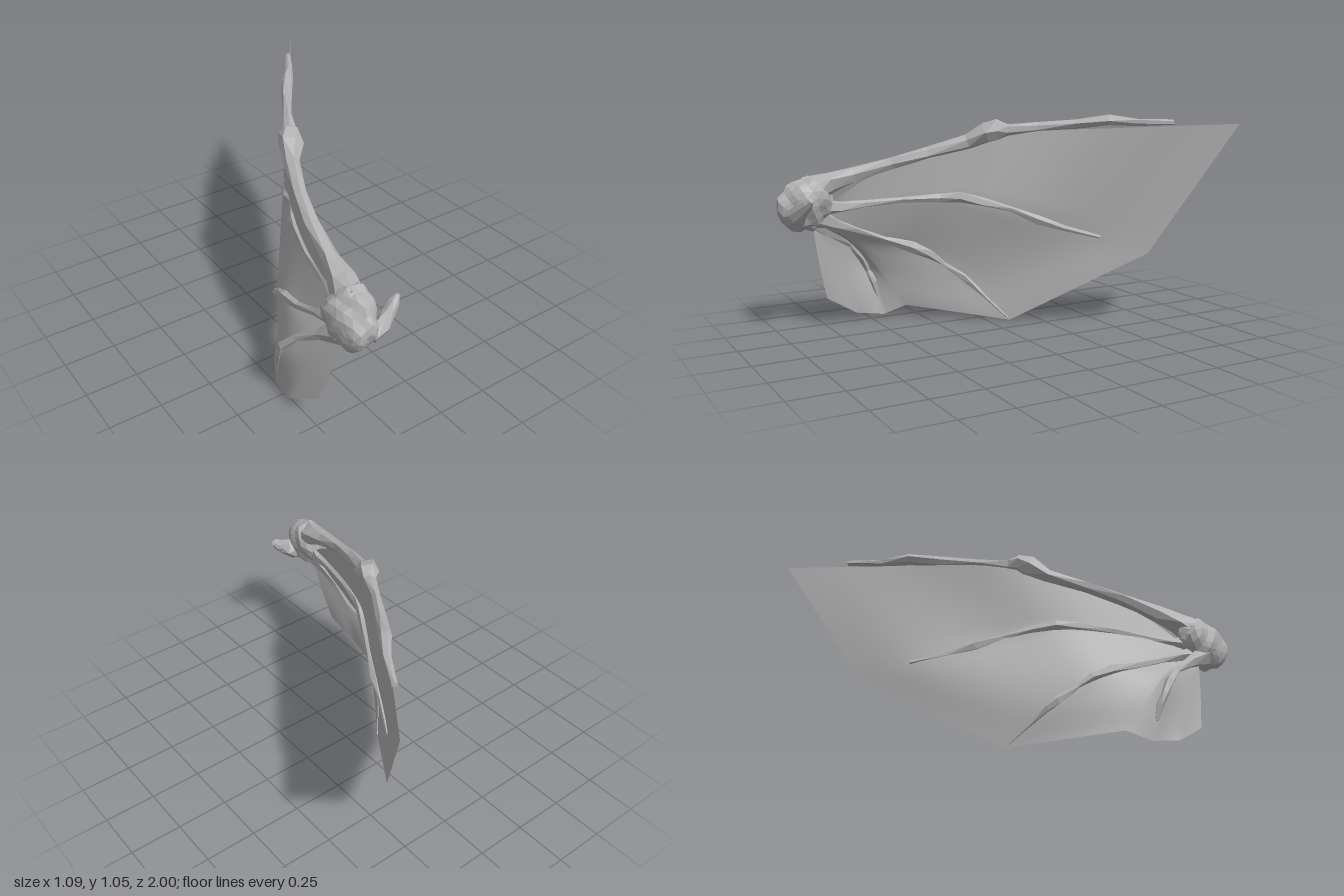
import * as THREE from 'three';
import { mergeVertices } from 'three/addons/utils/BufferGeometryUtils.js';

const grey = new THREE.MeshStandardMaterial({ color: 0xb2b2b2, side: THREE.DoubleSide });
grey.name = 'bone grey';

const V = (p) => new THREE.Vector3(p[0], p[1], p[2]);

function mesh(name, geometry) {
  const m = new THREE.Mesh(geometry, grey);
  m.name = name;
  return m;
}

// faceted normals
function facet(g) {
  const f = g.index ? g.toNonIndexed() : g;
  f.computeVertexNormals();
  return f;
}

// angular bone: rings of varying radius along a path of [x, y, z, radius]
function bone(path, sides, flatten, wobble) {
  const pts = path.map(V);
  const sheetNormal = new THREE.Vector3(0.89, 0, 0.46);
  const pos = [], idx = [];
  pts.forEach((p, i) => {
    const t = pts[Math.min(i + 1, pts.length - 1)].clone().sub(pts[Math.max(i - 1, 0)]).normalize();
    const side = new THREE.Vector3().crossVectors(t, sheetNormal).normalize();
    const up = new THREE.Vector3().crossVectors(t, side);
    for (let j = 0; j < sides; j++) {
      const a = (j / sides) * Math.PI * 2 + i * 0.25;
      const r = path[i][3] * (1 + wobble * Math.sin(i * 4.1 + j * 2.7));
      const q = p.clone().addScaledVector(side, Math.cos(a) * r).addScaledVector(up, Math.sin(a) * r * flatten);
      pos.push(q.x, q.y, q.z);
    }
  });
  const n = pts.length;
  for (let i = 0; i < n - 1; i++) {
    for (let j = 0; j < sides; j++) {
      const a = i * sides + j, b = i * sides + (j + 1) % sides;
      idx.push(a, b, a + sides, b, b + sides, a + sides);
    }
  }
  for (let j = 1; j < sides - 1; j++) {
    const e = (n - 1) * sides;
    idx.push(0, j + 1, j, e, e + j, e + j + 1);
  }
  const g = new THREE.BufferGeometry();
  g.setAttribute('position', new THREE.Float32BufferAttribute(pos, 3));
  g.setIndex(idx);
  return facet(g);
}

// skin stretched between rays that fan out from the wrist
function membrane() {
  const rays = [
    [[-0.37, 0.65, 0.73], [-0.34, 0.735, 0.6], [-0.295, 0.81, 0.42], [-0.195, 0.905, 0.12], [-0.065, 0.965, -0.15], [0.195, 0.99, -0.52], [0.545, 1.015, -1]],
    [[-0.39, 0.61, 0.74], [-0.305, 0.635, 0.4], [-0.205, 0.64, 0.14], [-0.07, 0.58, -0.1], [0.14, 0.445, -0.48], [0.295, 0.37, -0.66]],
    [[-0.41, 0.53, 0.75], [-0.4, 0.44, 0.5], [-0.365, 0.36, 0.27], [-0.26, 0.2, 0.06], [-0.125, 0.003, -0.11]],
    [[-0.42, 0.52, 0.76], [-0.46, 0.4, 0.58], [-0.48, 0.25, 0.45], [-0.445, 0.065, 0.33]],
    [[-0.43, 0.51, 0.77], [-0.505, 0.4, 0.6], [-0.535, 0.29, 0.52], [-0.52, 0.13, 0.46], [-0.505, 0.015, 0.43]],
    [[-0.43, 0.5, 0.8], [-0.49, 0.3, 0.67], [-0.525, 0.035, 0.57]],
    [[-0.42, 0.5, 0.82], [-0.45, 0.32, 0.785], [-0.485, 0.14, 0.74]],
  ].map((r) => new THREE.CatmullRomCurve3(r.map(V)));
  const across = 6, along = 24, rows = (rays.length - 1) * across;
  const pos = [], idx = [];
  for (let i = 0; i <= rows; i++) {
    const k = Math.min(Math.floor(i / across), rays.length - 2), f = i / across - k;
    for (let j = 0; j <= along; j++) {
      const p = rays[k].getPointAt(j / along).lerp(rays[k + 1].getPointAt(j / along), f);
      pos.push(p.x, p.y, p.z);
      if (i < rows && j < along) {
        const a = i * (along + 1) + j, b = a + along + 1;
        idx.push(a, b, a + 1, b, b + 1, a + 1);
      }
    }
  }
  const g = new THREE.BufferGeometry();
  g.setAttribute('position', new THREE.Float32BufferAttribute(pos, 3));
  g.setIndex(idx);
  g.computeVertexNormals();
  return g;
}

// lumpy wrist knuckle, narrower in front
function knuckle() {
  let g = new THREE.IcosahedronGeometry(1, 3);
  g.deleteAttribute('normal');
  g.deleteAttribute('uv');
  g = mergeVertices(g, 1e-3);
  const p = g.attributes.position;
  for (let i = 0; i < p.count; i++) {
    const v = new THREE.Vector3().fromBufferAttribute(p, i);
    const s = 1 + 0.05 * Math.sin(v.x * 7 + v.y * 4) + 0.05 * Math.sin(v.z * 8 - v.y * 6 + 1);
    const x = v.x * 0.095 * (1 - 0.15 * v.z);
    p.setXYZ(i, -0.41 + x * s + v.y * 0.02, 0.635 + v.y * 0.13 * s, 0.86 + v.z * 0.137 * s - v.y * 0.02);
  }
  return facet(g);
}

export function createModel() {
  const wing = new THREE.Group();
  wing.name = 'wing';
  wing.add(mesh('membrane', membrane()));
  wing.add(mesh('wristKnuckle', knuckle()));

  // hooked thumb
  wing.add(mesh('thumbClaw', bone([
    [-0.4, 0.575, 0.91, 0.06], [-0.36, 0.575, 0.93, 0.058], [-0.31, 0.595, 0.935, 0.045],
    [-0.265, 0.63, 0.92, 0.036], [-0.23, 0.66, 0.905, 0.028], [-0.205, 0.68, 0.895, 0.014],
  ], 7, 0.8, 0.08)));

  // long leading finger
  wing.add(mesh('leadingFinger', bone([
    [-0.4, 0.69, 0.84, 0.075], [-0.375, 0.735, 0.74, 0.055], [-0.355, 0.772, 0.63, 0.038],
    [-0.315, 0.822, 0.45, 0.03], [-0.26, 0.868, 0.28, 0.03], [-0.185, 0.92, 0.1, 0.036],
    [-0.14, 0.965, 0.02, 0.055], [-0.11, 0.985, -0.03, 0.05], [-0.08, 0.98, -0.07, 0.03],
    [-0.01, 0.995, -0.2, 0.022], [0.09, 1.01, -0.36, 0.025], [0.185, 1.03, -0.49, 0.026],
    [0.265, 1.02, -0.6, 0.018], [0.355, 1.02, -0.75, 0.014],
  ], 6, 1.05, 0.1)));

  // thinner knobbly fingers crossing the membrane
  const fingers = {
    secondFinger: [
      [-0.4, 0.62, 0.8, 0.05], [-0.37, 0.615, 0.7, 0.03], [-0.345, 0.625, 0.58, 0.017], [-0.303, 0.637, 0.4, 0.017],
      [-0.24, 0.645, 0.22, 0.023], [-0.2, 0.648, 0.13, 0.03], [-0.14, 0.62, 0.03, 0.022], [-0.07, 0.585, -0.09, 0.013],
      [-0.01, 0.53, -0.21, 0.026], [0.05, 0.49, -0.32, 0.014], [0.14, 0.445, -0.48, 0.01],
    ],
    thirdFinger: [
      [-0.405, 0.56, 0.8, 0.05], [-0.41, 0.53, 0.71, 0.03], [-0.405, 0.49, 0.6, 0.016], [-0.395, 0.43, 0.46, 0.02],
      [-0.375, 0.385, 0.32, 0.03], [-0.345, 0.34, 0.23, 0.026], [-0.32, 0.29, 0.17, 0.01], [-0.275, 0.22, 0.08, 0.022],
      [-0.25, 0.18, 0.04, 0.018], [-0.21, 0.12, -0.01, 0.008], [-0.13, 0.015, -0.1, 0.005],
    ],
    fourthFinger: [
      [-0.44, 0.55, 0.83, 0.055], [-0.465, 0.485, 0.73, 0.03], [-0.505, 0.4, 0.605, 0.014], [-0.53, 0.32, 0.535, 0.025],
      [-0.535, 0.25, 0.5, 0.018], [-0.52, 0.19, 0.475, 0.02], [-0.515, 0.11, 0.455, 0.008],
    ],
  };
  for (const [name, path] of Object.entries(fingers)) wing.add(mesh(name, bone(path, 5, 0.85, 0.12)));
  return wing;
}
